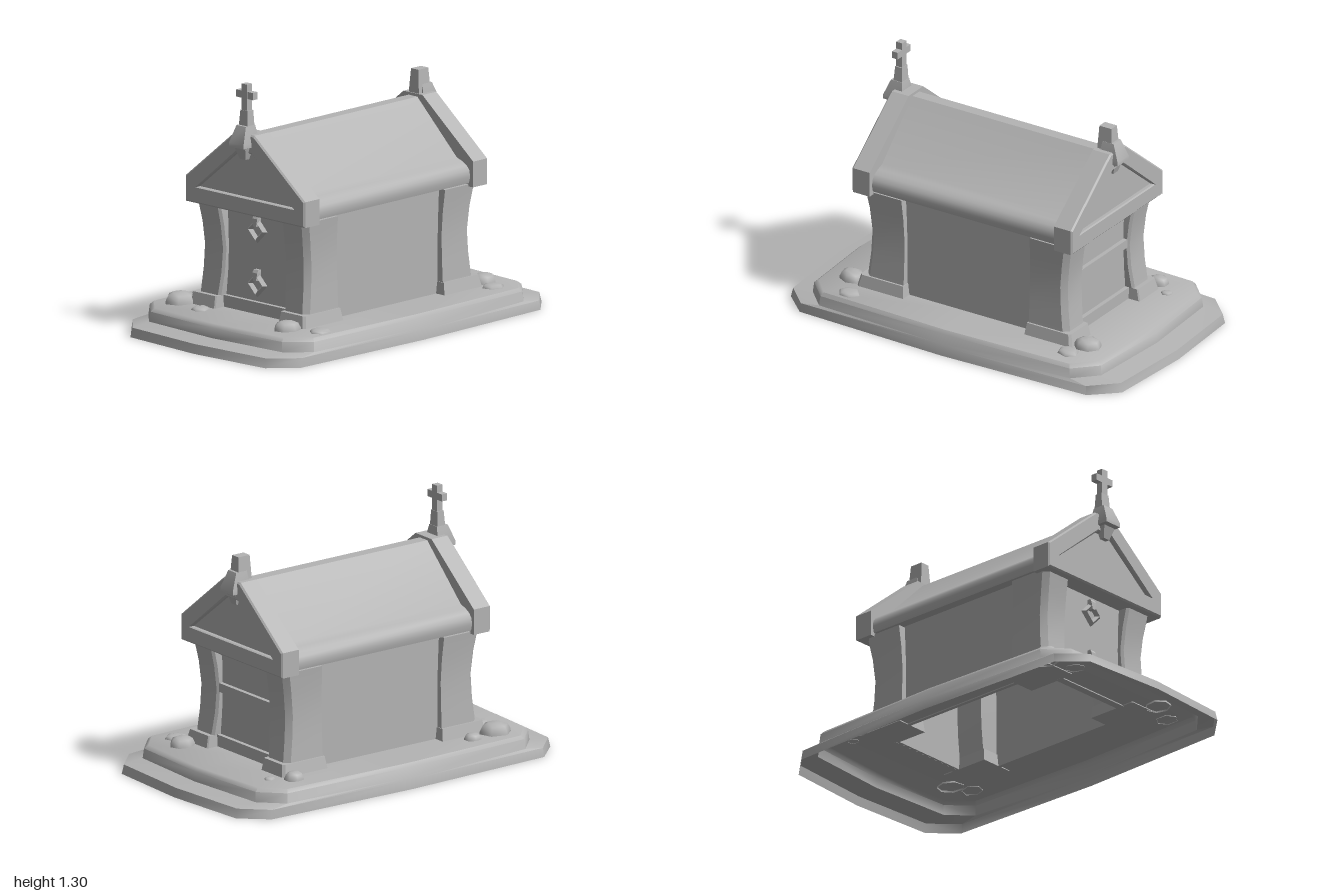
import * as THREE from 'three';
import { toCreasedNormals } from 'three/addons/utils/BufferGeometryUtils.js';

const stone = new THREE.MeshStandardMaterial({ color: 0xb4b4b4, side: THREE.DoubleSide });
stone.name = 'stone';

// Skin a stack of equal-length rings (counterclockwise from above, listed upwards)
function loft(rings, { caps = true, crease = 0.5 } = {}) {
  const pos = [];
  const tri = (a, b, c) => pos.push(...a, ...b, ...c);
  const n = rings[0].length;
  for (let k = 0; k < rings.length - 1; k++) {
    for (let i = 0; i < n; i++) {
      const j = (i + 1) % n, lo = rings[k], hi = rings[k + 1];
      tri(lo[i], lo[j], hi[j]);
      tri(lo[i], hi[j], hi[i]);
    }
  }
  if (caps) {
    const lo = rings[0], hi = rings[rings.length - 1];
    for (let i = 1; i < n - 1; i++) {
      tri(lo[0], lo[i + 1], lo[i]);
      tri(hi[0], hi[i], hi[i + 1]);
    }
  }
  const g = new THREE.BufferGeometry();
  g.setAttribute('position', new THREE.Float32BufferAttribute(pos, 3));
  return toCreasedNormals(g, crease);
}

// Mirror rings into another quadrant while keeping their winding
function mirror(rings, sx, sz) {
  return rings.map(r => {
    const m = r.map(([x, y, z]) => [x * sx, y, z * sz]);
    return sx * sz < 0 ? m.reverse() : m;
  });
}

// Symmetrical outline from four quarter points [x, z]
function outline(y, [a, b, c, d]) {
  return [a, b, c, d, [c[0], -c[1]], [b[0], -b[1]], [0, -a[1]], [-b[0], -b[1]],
    [-c[0], -c[1]], [-d[0], 0], [-c[0], c[1]], [-b[0], b[1]]]
    .map(([x, z]) => [x, y, z]);
}

const rect = (y, hx, z0, z1) => [[-hx, y, z1], [hx, y, z1], [hx, y, z0], [-hx, y, z0]];

function polygon(points) {
  return new THREE.Shape(points.map(([x, y]) => new THREE.Vector2(x, y)));
}

const extrude = (shape, depth) => new THREE.ExtrudeGeometry(shape, { depth, bevelEnabled: false });

export function createModel() {
  const model = new THREE.Group();
  model.name = 'mausoleum';
  const add = (name, geometry, x = 0, y = 0, z = 0) => {
    const mesh = new THREE.Mesh(geometry, stone);
    mesh.name = name;
    mesh.position.set(x, y, z);
    model.add(mesh);
    return mesh;
  };
  const box = (name, w, h, d, x, y, z) => add(name, new THREE.BoxGeometry(w, h, d), x, y, z);

  // Stepped base: a thin shell, open underneath and in the middle
  const lower = [[0, 1], [0.46, 0.97], [0.58, 0.84], [0.605, 0]];
  const lowerTop = [[0, 0.99], [0.455, 0.96], [0.577, 0.835], [0.598, 0]];
  const upper = [[0, 0.875], [0.455, 0.845], [0.567, 0.735], [0.595, 0]];
  const upperTop = [[0, 0.87], [0.45, 0.84], [0.562, 0.73], [0.583, 0]];
  const bevel = [[0, 0.85], [0.44, 0.82], [0.547, 0.72], [0.568, 0]];
  const hole = [[0, 0.545], [0.325, 0.545], [0.33, 0.54], [0.33, 0]];
  add('base', loft([outline(0, lower), outline(0.047, lowerTop), outline(0.058, upper),
    outline(0.108, upperTop), outline(0.125, bevel), outline(0.125, hole)], { caps: false, crease: 0.8 }));

  // Walls
  for (const s of [-1, 1]) {
    box('sideWall', 0.02, 0.54, 1.08, s * 0.328, 0.39, 0);
    box('endWall', 0.66, 0.54, 0.02, 0, 0.39, s * 0.533);
    box('wallPlinth', 0.46, 0.065, 0.03, 0, 0.152, s * 0.55);
  }
  box('backBar', 0.41, 0.045, 0.03, 0, 0.43, -0.55);
  box('backLintel', 0.41, 0.05, 0.02, 0, 0.62, -0.545);

  // Waisted corner pillars with block feet: [y, x inner, x outer, z inner, z outer]
  const pillar = [[0.18, 0.22, 0.373, 0.367, 0.592], [0.30, 0.208, 0.367, 0.367, 0.578],
    [0.42, 0.203, 0.364, 0.367, 0.572], [0.54, 0.206, 0.369, 0.371, 0.585], [0.65, 0.212, 0.38, 0.376, 0.605]];
  const foot = [[0.12, 0.215, 0.397, 0.355, 0.63], [0.185, 0.22, 0.383, 0.363, 0.616]];
  const section = (c, d) => ([y, x0, x1, z0, z1]) => [[x0, y, z1 - d], [x0 + d, y, z1],
    [x1 - c, y, z1], [x1, y, z1 - c], [x1, y, z0], [x0, y, z0]];
  for (const sx of [-1, 1]) {
    for (const sz of [-1, 1]) {
      add('pillar', loft(mirror(pillar.map(section(0.027, 0.012)), sx, sz)));
      add('pillarFoot', loft(mirror(foot.map(section(0.012, 0.006)), sx, sz)));
    }
  }

  // Roof with thick rounded eaves
  const half = [[0.34, 0.655], [0.383, 0.657], [0.391, 0.69], [0.386, 0.722], [0.367, 0.745], [0.338, 0.76],
    [0.3, 0.773], [0.03, 1.033]];
  const roof = [...half, ...half.map(([x, y]) => [-x, y]).reverse()];
  add('roof', toCreasedNormals(extrude(polygon(roof), 1.1), 0.6), 0, 0, -0.55);

  // Gables with a bevelled frame around a recessed panel
  const gable = [[-0.405, 0.64], [0.412, 0.64], [0.412, 0.77], [0.065, 1.047], [-0.065, 1.047], [-0.405, 0.77]];
  const panel = [[-0.325, 0.724], [-0.047, 0.95], [0.047, 0.95], [0.335, 0.724]];
  const frame = polygon(gable);
  frame.holes.push(polygon(panel));
  const frameGeometry = new THREE.ExtrudeGeometry(frame,
    { depth: 0.03, bevelThickness: 0.008, bevelSize: 0.008, bevelOffset: -0.008, bevelSegments: 1 });
  for (const s of [-1, 1]) {
    add('gable', extrude(polygon(gable), 0.08), 0, 0, s > 0 ? 0.54 : -0.62);
    add('gableFrame', frameGeometry, 0, 0, s > 0 ? 0.607 : -0.637);
  }

  // Keystones and posts on both gables
  const keystone = [rect(0.92, 0.02, 0.63, 0.655), rect(0.98, 0.037, 0.62, 0.675), rect(0.985, 0.05, 0.59, 0.70),
    rect(1.005, 0.05, 0.587, 0.70), rect(1.09, 0.032, 0.6, 0.665)];
  add('frontKeystone', loft(keystone));
  add('frontPost', loft([rect(1.08, 0.03, 0.602, 0.652), rect(1.165, 0.025, 0.606, 0.645)]));
  const back = keystone.map(r => r.map(([x, y, z]) => [x, y, z - 0.025]));
  add('backKeystone', loft(mirror(back, 1, -1)));
  add('backPost', loft([rect(1.03, 0.036, -0.63, -0.545), rect(1.165, 0.025, -0.622, -0.552)]));

  // Cross on the front post
  box('crossUpright', 0.038, 0.14, 0.035, 0, 1.227, 0.625);
  box('crossArm', 0.115, 0.036, 0.033, 0, 1.243, 0.625);

  // Diamond door rings hanging from pegs
  const diamond = toCreasedNormals(new THREE.TorusGeometry(0.049, 0.017, 4, 4), 0.5);
  for (const y of [0.545, 0.272]) {
    add('doorRing', diamond, 0, y, 0.55);
    add('ringPeg', loft([rect(y + 0.02, 0.009, 0.52, 0.572), rect(y + 0.06, 0.017, 0.52, 0.57),
      rect(y + 0.075, 0.015, 0.52, 0.56)]));
  }

  // Rounded rocks around the base: x, z, radius, height
  const rocks = [[-0.433, 0.65, 0.07, 0.055], [-0.45, 0.5, 0.04, 0.03], [-0.26, 0.685, 0.044, 0.016],
    [0.338, 0.69, 0.06, 0.045], [0.487, 0.61, 0.05, 0.018], [0.338, -0.69, 0.06, 0.045],
    [0.445, -0.645, 0.05, 0.02], [-0.44, -0.595, 0.045, 0.04], [-0.367, -0.69, 0.026, 0.012]];
  const dome = [[1, -0.2], [0.98, 0.25], [0.8, 0.75], [0.45, 0.97], [0.001, 1]].map(p => new THREE.Vector2(...p));
  rocks.forEach(([x, z, r, h], i) => {
    const rock = add('rock', new THREE.LatheGeometry(dome, 6 + (i % 2)), x, 0.125, z);
    rock.scale.set(r, h, r * 1.18);
    rock.rotation.y = (i % 3 - 1) * 0.3;
  });

  return model;
}
